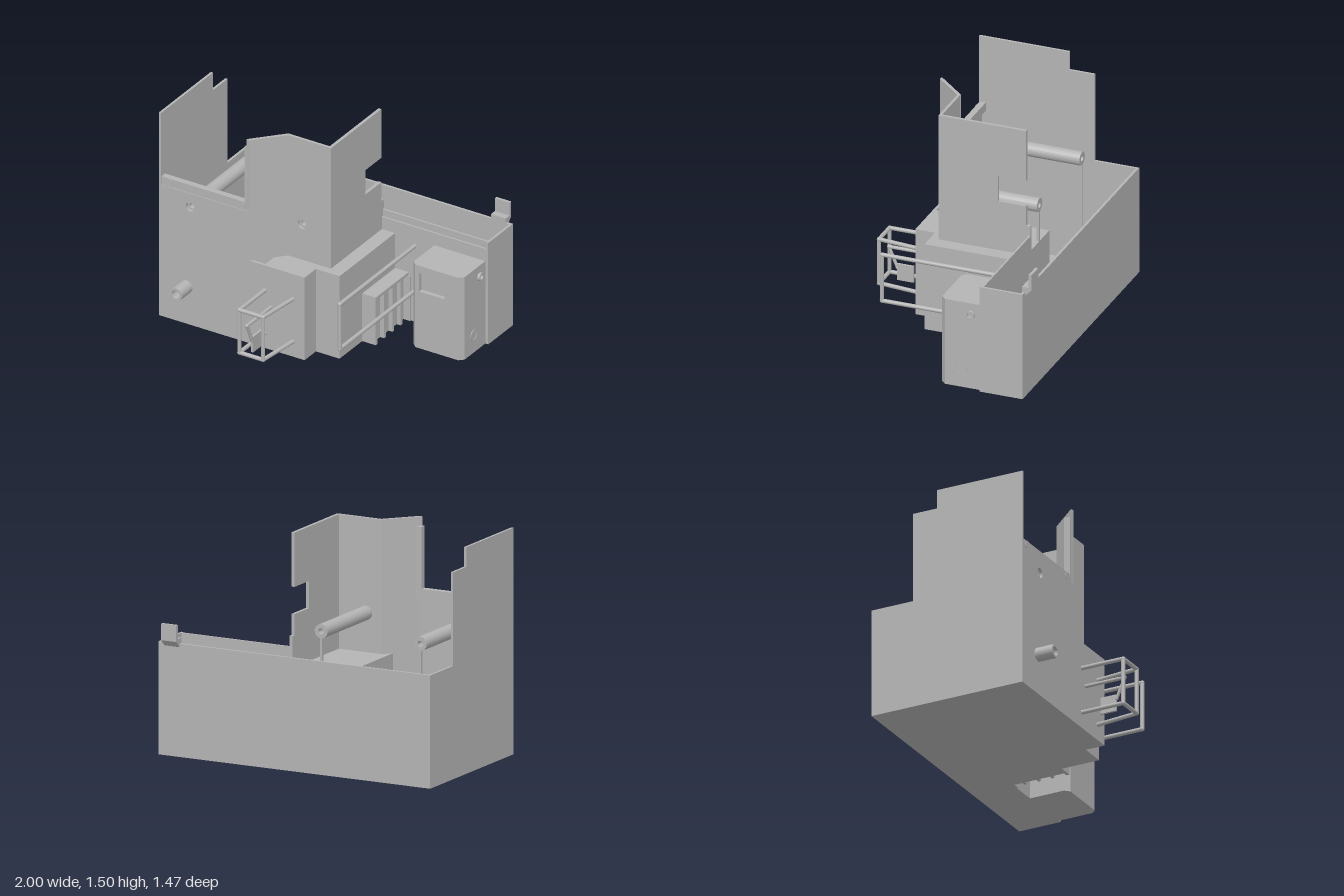
import * as THREE from 'three';

export function createModel() {
  const model = new THREE.Group();
  const grey = new THREE.MeshStandardMaterial({ color: 0xb4b4b4 });
  grey.name = 'plain grey';

  const add = (name, geo) => {
    const m = new THREE.Mesh(geo, grey);
    m.name = name;
    model.add(m);
    return m;
  };
  const shapeOf = (pts) => new THREE.Shape(pts.map(([a, b]) => new THREE.Vector2(a, b)));
  const extrude = (shape, depth) =>
    new THREE.ExtrudeGeometry(shape, { depth, bevelEnabled: false, curveSegments: 12 });

  // Box from its limits
  const box = (name, x0, x1, y0, y1, z0, z1) =>
    add(name, new THREE.BoxGeometry(x1 - x0, y1 - y0, z1 - z0)
      .translate((x0 + x1) / 2, (y0 + y1) / 2, (z0 + z1) / 2));
  // Floor outline of [x, z] points, raised from y0 to y1
  const plan = (name, pts, y0, y1) =>
    add(name, extrude(shapeOf(pts.map(([x, z]) => [x, -z])), y1 - y0)
      .rotateX(-Math.PI / 2).translate(0, y0, 0));
  // Side outline of [z, y] points, extended from x0 to x1
  const side = (name, pts, x0, x1) =>
    add(name, extrude(shapeOf(pts.map(([z, y]) => [-z, y])), x1 - x0)
      .rotateY(Math.PI / 2).translate(x0, 0, 0));
  // Front outline of [x, y] points with round holes [x, y, r]
  const front = (name, pts, z0, z1, holes = []) => {
    const s = shapeOf(pts);
    for (const [x, y, r] of holes) s.holes.push(new THREE.Path().absarc(x, y, r, 0, Math.PI * 2, true));
    return add(name, extrude(s, z1 - z0).translate(0, 0, z0));
  };
  const rect = (x0, x1, y0, y1) => [[x0, y0], [x1, y0], [x1, y1], [x0, y1]];
  // Hollow pipe along z
  const ring = (r, inner, length) => {
    const s = new THREE.Shape().absarc(0, 0, r, 0, Math.PI * 2, false);
    s.holes.push(new THREE.Path().absarc(0, 0, inner, 0, Math.PI * 2, true));
    return extrude(s, length);
  };
  // Round rod between two points with ball ends
  const rod = (name, a, b, r = 0.014) => {
    const p = new THREE.Vector3(...a), q = new THREE.Vector3(...b);
    const d = q.clone().sub(p);
    const m = add(name, new THREE.CylinderGeometry(r, r, d.length(), 14));
    m.position.copy(p).addScaledVector(d, 0.5);
    m.quaternion.setFromUnitVectors(new THREE.Vector3(0, 1, 0), d.normalize());
    for (const e of [p, q]) add(name + 'End', new THREE.SphereGeometry(r * 1.08, 12, 8)).position.copy(e);
  };

  // Tank floor and outer walls
  plan('floor', [[-1, 0.417], [0.11, 0.417], [0.11, 0.28], [0.19, 0.28], [0.19, -0.39],
    [1, -0.39], [1, -0.69], [-1, -0.69]], 0, 0.02);
  side('leftTallWall', [[0.417, 0], [0.417, 1.5], [-0.21, 1.5], [-0.21, 1.37], [-0.385, 1.37],
    [-0.385, 0.75], [-0.69, 0.75], [-0.69, 0]], -1, -0.983);
  box('backWall', -0.983, 1, 0, 0.75, -0.69, -0.672);
  box('endWall', 0.983, 1, 0, 0.75, -0.672, -0.39);
  box('troughFrontWall', 0.19, 0.983, 0, 0.7, -0.415, -0.39);
  box('troughRim', 0.19, 0.983, 0.7, 0.75, -0.415, -0.402);

  // Front wall, with an entry hole, stepping down where the corner cuts in
  front('frontWall', [[-0.983, 0], [-0.2, 0], [-0.2, 0.61], [-0.31, 0.61], [-0.31, 0.97], [-0.983, 0.97]],
    0.397, 0.417, [[-0.76, 0.87, 0.033]]);
  box('frontBar', -0.983, -0.31, 0.97, 1.03, 0.37, 0.412);
  for (const x of [-0.925, -0.38])
    add('barBolt', new THREE.CylinderGeometry(0.03, 0.03, 0.006, 24).rotateX(Math.PI / 2)).position.set(x, 1.0, 0.413);
  box('cornerPost', -0.35, -0.31, 0.97, 1.44, 0.37, 0.412);

  // Angled corner and the recessed tall walls
  plan('angledWall', [[-0.31, 0.417], [-0.135, 0.225], [-0.135, 0.203], [-0.145, 0.203], [-0.335, 0.412]], 0, 1.5);
  front('recessedWall', rect(-0.135, 0.19, 0, 1.5), 0.205, 0.225, [[-0.03, 0.87, 0.033]]);
  side('notchedWall', [[0.225, 0], [0.225, 1.5], [-0.385, 1.5], [-0.385, 1.14], [-0.19, 1.14],
    [-0.19, 0.96], [-0.385, 0.96], [-0.385, 0.82], [-0.415, 0.82], [-0.415, 0]], 0.168, 0.19);

  // Stepped lower block
  box('lowerBlock', -0.2, 0.11, 0, 0.61, -0.39, 0.417);
  box('lowerBlockStep', 0.11, 0.29, 0, 0.61, -0.39, 0.28);

  // Hollow pipes inside the tank and their stands
  for (const [x, end, foot] of [[-0.76, 0.397, 0.02], [-0.03, 0.205, 0.6]]) {
    add('innerPipe', ring(0.047, 0.02, end + 0.39)).position.set(x, 0.87, -0.39);
    box('pipeStand', x - 0.006, x + 0.006, foot, 0.83, -0.39, -0.37);
  }

  // Outlet pipe on the front
  add('outletPipe', ring(0.046, 0.03, 0.13)).position.set(-0.79, 0.275, 0.416);

  // Small rack with recessed, ribbed side
  box('rackCore', 0.29, 0.36, 0, 0.33, -0.39, -0.015);
  box('rackTop', 0.29, 0.393, 0.33, 0.352, -0.39, 0.007);
  box('rackFront', 0.29, 0.393, 0, 0.33, -0.015, 0.007);
  for (const z of [-0.12, -0.22, -0.32]) box('rackRib', 0.36, 0.39, 0, 0.33, z, z + 0.02);
  box('rackBackStrip', 0.36, 0.412, 0, 0.33, -0.39, -0.38);

  // Control cabinet with chamfered corners and a recessed window
  box('cabinet', 0.59, 0.978, 0, 0.61, -0.39, -0.14);
  plan('cabinetLeftChamfer', [[0.59, -0.14], [0.62, -0.11], [0.62, -0.14]], 0, 0.61);
  plan('cabinetRightChamfer', [[0.978, -0.14], [0.948, -0.14], [0.948, -0.11]], 0, 0.61);
  const face = shapeOf(rect(0.62, 0.948, 0, 0.61));
  face.holes.push(new THREE.Path(rect(0.65, 0.845, 0.42, 0.555).reverse().map((p) => new THREE.Vector2(...p))));
  add('cabinetFace', extrude(face, 0.03).translate(0, 0, -0.14));
  add('cabinetKnob', ring(0.029, 0.018, 0.017).rotateY(Math.PI / 2)).position.set(0.978, 0.53, -0.32);
  add('cabinetPort', ring(0.041, 0.032, 0.004).rotateY(Math.PI / 2)).position.set(0.978, 0.13, -0.25);

  // Bent bracket on the back rim
  side('backBracket', [[-0.668, 0.75], [-0.668, 0.785], [-0.715, 0.785], [-0.715, 0.88], [-0.736, 0.88],
    [-0.736, 0.77], [-0.69, 0.727], [-0.69, 0.75]], 0.845, 0.957);

  // Guard cage on the front
  for (const y of [0.11, 0.425]) {
    rod('cageRail', [-0.195, y, 0.417], [-0.195, y, 0.72]);
    rod('cageRail', [0.018, y, 0.417], [-0.015, y, 0.72]);
    rod('cageCross', [-0.195, y, 0.72], [-0.015, y, 0.72]);
  }
  for (const x of [-0.195, -0.015]) rod('cageUpright', [x, 0.11, 0.72], [x, 0.425, 0.72]);

  // Lever and its plate inside the cage
  rod('leverBar', [-0.147, 0.315, 0.417], [-0.147, 0.315, 0.705], 0.012);
  rod('leverArm', [-0.147, 0.315, 0.705], [-0.147, 0.175, 0.645], 0.011);
  box('leverPlate', -0.155, -0.139, 0.09, 0.205, 0.53, 0.645);

  // Long side guard rail
  for (const y of [0.23, 0.56]) rod('guardRail', [0.44, y, -0.39], [0.44, y, 0.515]);
  rod('guardUpright', [0.44, 0.23, 0.515], [0.44, 0.56, 0.515]);

  return model;
}
